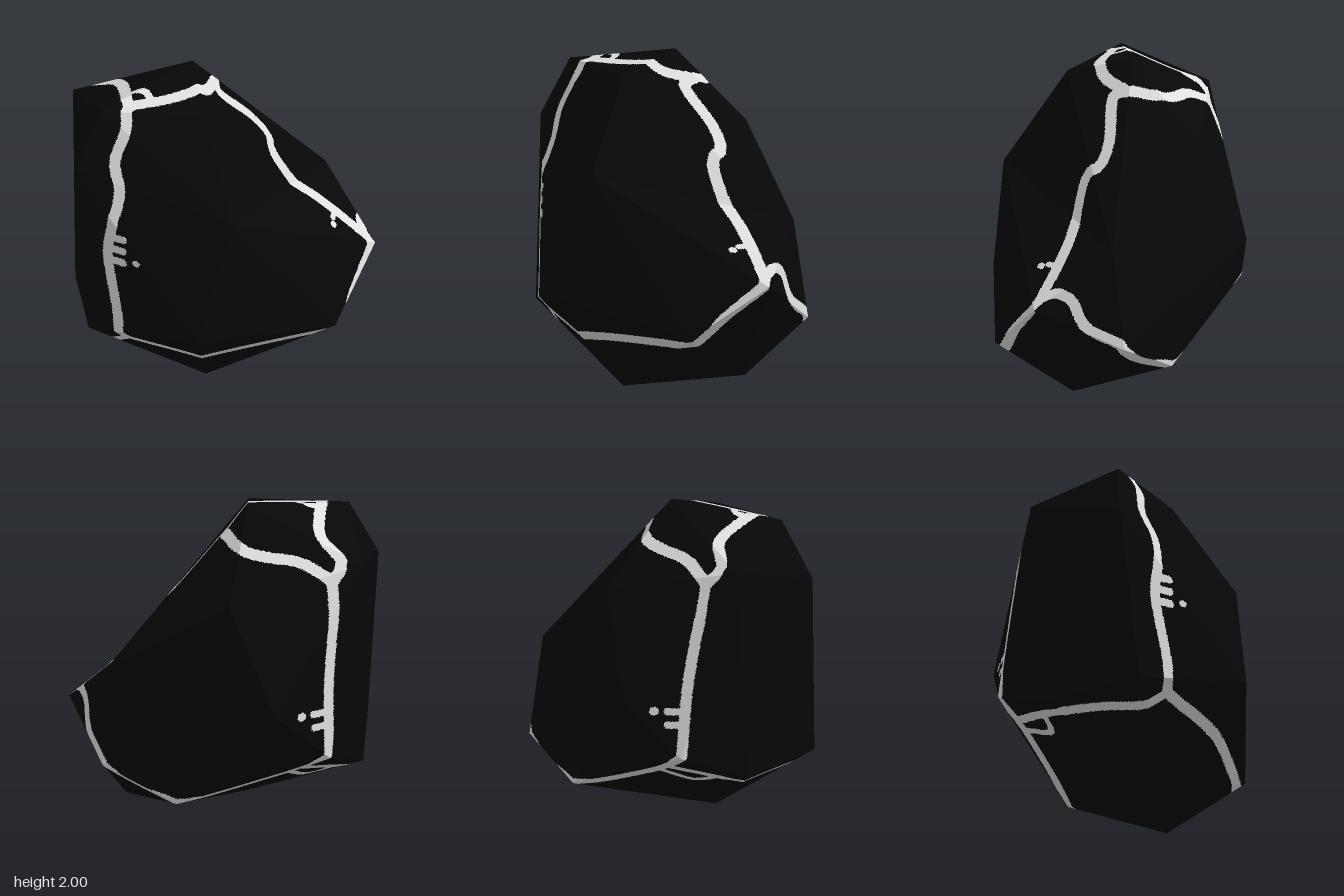
import * as THREE from 'three';
import { ConvexGeometry } from 'three/addons/geometries/ConvexGeometry.js';

const V = (x, y, z) => new THREE.Vector3(x, y, z);

// Corners of the faceted boulder, from the crown down to the foot
const peak = V(-0.17, 2, -0.15);
const brow = V(-0.14, 1.885, 0.27);
const chest = V(0, 1.32, 0.625);
const hip = V(0.65, 1.035, -0.405);
const nose = V(0.915, 0.69, -0.01);
const backCorner = V(-0.7, 0.58, -0.62);
const lowBack = V(0.22, 0.24, -0.595);
const corners = [
  peak, brow, chest, hip, nose, backCorner, lowBack,
  V(-0.75, 1.91, 0.2), V(-0.875, 1.71, -0.32), V(-0.92, 1.56, 0.29), V(-0.1, 1.53, -0.635),
  V(-0.39, 0.9, -0.8), V(-0.225, 0.595, 0.8), V(0.675, 0.44, -0.495), V(0.64, 0.375, 0.38),
  V(-0.845, 0.46, 0.385), V(-0.87, 0.41, -0.22), V(0.56, 0.11, -0.1), V(-0.13, 0, 0.28),
];

export function createModel() {
  const rock = new THREE.MeshStandardMaterial({ color: 0x070707 });
  rock.name = 'black rock';
  const mineral = new THREE.MeshStandardMaterial({ color: 0xe0e0e0 });
  mineral.name = 'pale mineral';

  // Facets of the boulder; the big side facet is folded inward from hip to chest
  const hull = new ConvexGeometry(corners).getAttribute('position');
  const fold = [peak, brow, chest, hip, nose];
  const facets = [[chest, nose, hip], [chest, hip, brow], [brow, hip, peak]];
  for (let i = 0; i < hull.count; i += 3) {
    const facet = [0, 1, 2].map((k) => new THREE.Vector3().fromBufferAttribute(hull, i + k));
    if (!facet.every((p) => fold.some((q) => q.distanceTo(p) < 0.001))) facets.push(facet);
  }

  // Nearest surface point along a ray, or the fallback where the ray misses
  const cast = (origin, dir, culling, fallback) => {
    const ray = new THREE.Ray(origin, dir);
    let best = fallback;
    let nearest = Infinity;
    for (const [a, b, c] of facets) {
      const p = ray.intersectTriangle(a, b, c, culling, new THREE.Vector3());
      if (p && p.distanceTo(origin) < nearest) {
        nearest = p.distanceTo(origin);
        best = p;
      }
    }
    return best;
  };
  const centre = V(0, 1, 0);
  const toSurface = (p) => cast(centre, p.clone().sub(centre).normalize(), false, p);
  const drop = (origin, dir) =>
    cast(origin, dir, true, toSurface(origin.clone().addScaledVector(dir, 5)));
  const front = (x, y) => drop(V(x, y, 5), V(0, 0, -1));
  const side = (z, y) => drop(V(5, y, z), V(-1, 0, 0));
  const top = (x, z) => drop(V(x, 5, z), V(0, -1, 0));
  const under = (x, z) => drop(V(x, -5, z), V(0, 1, 0));
  const near = (x, y, z) => toSurface(V(x, y, z));

  // A vein is a smooth path laid over the surface with a half width
  const segments = [];
  const vein = (width, ...points) => {
    const curve = new THREE.CatmullRomCurve3(points);
    const path = curve.getSpacedPoints(Math.ceil(curve.getLength() / 0.05)).map(toSurface);
    for (let i = 1; i < path.length; i++) {
      segments.push({ line: new THREE.Line3(path[i - 1], path[i]), width });
    }
  };

  // Places where veins meet
  const crownLeft = top(-0.58, 0.17);
  const crownBack = top(-0.7, -0.41);
  const crownRight = top(-0.03, -0.18);
  const tip = side(-0.02, 0.74);
  const footLeft = front(-0.62, 0.43);
  const footRight = side(-0.47, 0.475);

  // Ring round the crown, with its little eye
  vein(0.036, crownLeft, top(-0.59, 0.02), top(-0.62, -0.21), top(-0.75, -0.33), crownBack);
  vein(0.036, crownBack, top(-0.64, -0.4), top(-0.5, -0.365), top(-0.28, -0.37), top(-0.15, -0.355), crownRight);
  vein(0.036, crownRight, top(-0.13, 0.04), top(-0.3, 0.12), crownLeft);
  vein(0.024, top(-0.59, 0.06), top(-0.49, 0.055), top(-0.44, 0.14));
  // Long vein down the front
  vein(0.034, crownLeft, front(-0.61, 1.82), front(-0.685, 1.62), front(-0.66, 1.46),
    front(-0.71, 1.26), front(-0.735, 1.05), front(-0.68, 0.6), footLeft);
  // Vein down the ridge
  vein(0.038, crownRight, side(-0.1, 1.81), side(-0.16, 1.56), side(-0.14, 1.44), side(-0.07, 1.39),
    side(-0.065, 1), tip);
  // Vein round the foot, front half then back half
  vein(0.034, tip, side(0.18, 0.53), side(0.31, 0.36), front(0.42, 0.335), front(-0.18, 0.325), footLeft);
  vein(0.033, tip, side(-0.12, 0.79), side(-0.2, 0.75), side(-0.28, 0.59), footRight);
  vein(0.033, footRight, side(-0.5, 0.34), lowBack, under(0.05, -0.57), under(-0.25, -0.56),
    under(-0.5, -0.57), backCorner);
  // Vein up the back corner
  vein(0.034, crownBack, near(-0.69, 1.05, -0.55), backCorner);
  // Link under the left side, with a second strand
  vein(0.03, under(-0.53, -0.57), under(-0.68, -0.36), under(-0.78, -0.17), under(-0.74, 0.1),
    under(-0.68, 0.33), footLeft);
  vein(0.024, under(-0.46, -0.54), under(-0.55, -0.34), under(-0.69, -0.32));
  // Stubs and drops beside the veins
  for (const y of [1, 1.08, 1.16]) vein(0.026, front(-0.73, y), front(-0.65, y));
  vein(0.02, front(-0.58, 1.02), front(-0.57, 1.02));
  for (const y of [0.91, 0.97]) vein(0.019, side(-0.06, y), side(0.93 - y, y));
  vein(0.022, side(0.06, 0.895), side(0.07, 0.895));
  for (const y of [0.78, 0.86]) vein(0.022, near(-0.69, y, -0.61), near(-0.62, y, -0.66));
  vein(0.026, near(-0.56, 0.86, -0.71), near(-0.55, 0.86, -0.71));

  const hit = new THREE.Vector3();
  const veinDistance = (p) => {
    let best = Infinity;
    for (const s of segments) {
      s.line.closestPointToPoint(p, true, hit);
      best = Math.min(best, hit.distanceTo(p) - s.width);
    }
    return best;
  };

  // Halve the facets only along vein borders, and sort the pieces by colour
  const rockPoints = [];
  const veinPoints = [];
  const divide = (a, b, c) => {
    const m = a.clone().add(b).add(c).divideScalar(3);
    const r = Math.max(m.distanceTo(a), m.distanceTo(b), m.distanceTo(c));
    const d = veinDistance(m);
    if (Math.abs(d) > r || r < 0.008) {
      (d < 0 ? veinPoints : rockPoints).push(a, b, c);
      return;
    }
    const ab = a.distanceTo(b);
    const bc = b.distanceTo(c);
    const ca = c.distanceTo(a);
    if (bc > ab && bc >= ca) {
      divide(b, c, a);
    } else if (ca > ab) {
      divide(c, a, b);
    } else {
      const mid = a.clone().lerp(b, 0.5);
      divide(a, mid, c);
      divide(mid, b, c);
    }
  };
  facets.forEach((f) => divide(...f));

  const group = new THREE.Group();
  group.name = 'veinedBoulder';
  const add = (name, points, material) => {
    const geometry = new THREE.BufferGeometry().setFromPoints(points);
    geometry.computeVertexNormals();
    const mesh = new THREE.Mesh(geometry, material);
    mesh.name = name;
    group.add(mesh);
  };
  add('boulder', rockPoints, rock);
  add('mineralVeins', veinPoints, mineral);
  return group;
}
